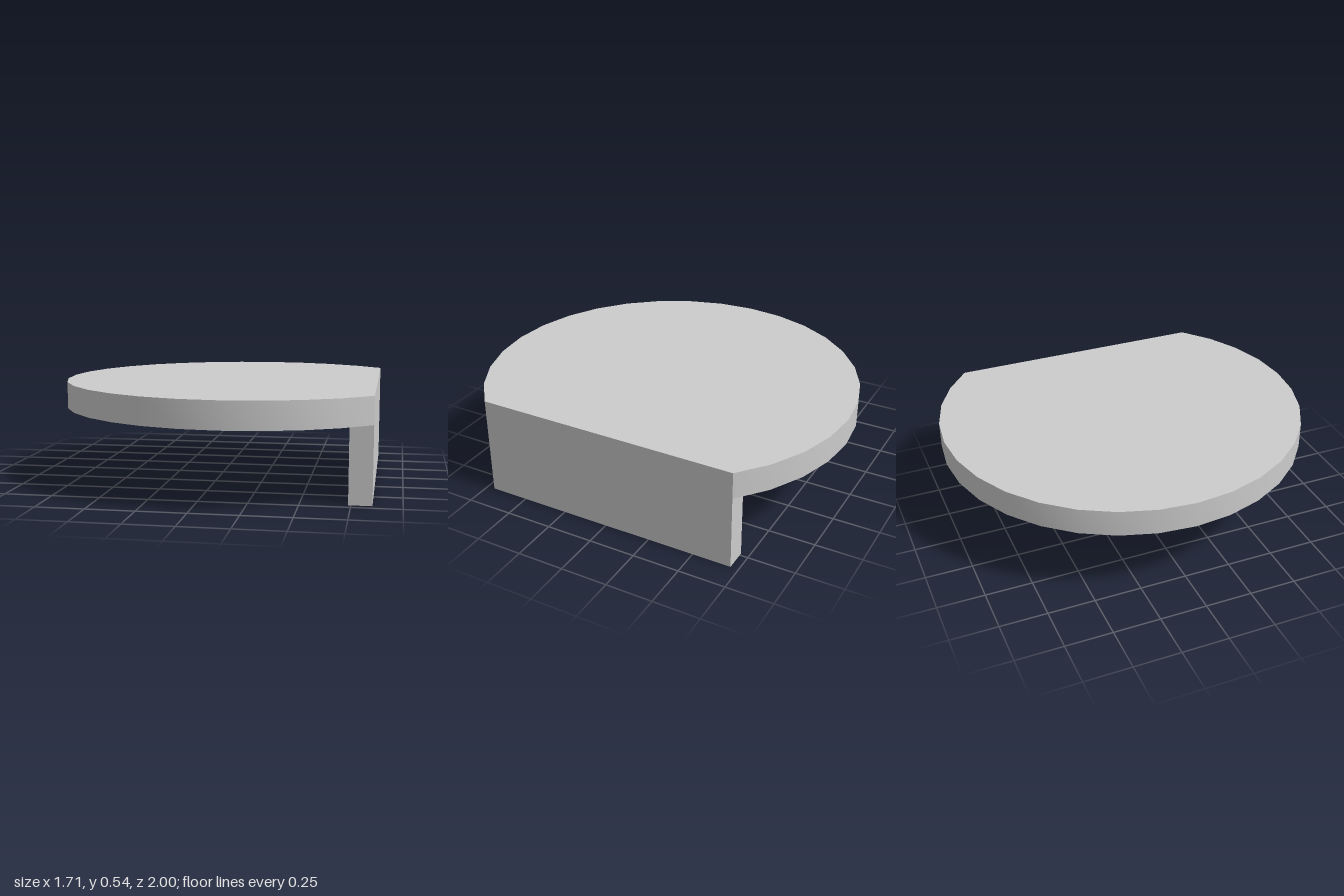
import * as THREE from 'three';
import { toCreasedNormals } from 'three/addons/utils/BufferGeometryUtils.js';

const RADIUS = 1;
const HALF_CHORD = Math.SQRT1_2;            // the disc is cut at 45 degrees either side
const CUT_X = (RADIUS + HALF_CHORD) / 2;    // flat edge, with the whole centred on x = 0
const CENTRE_X = CUT_X - HALF_CHORD;
const UNDERSIDE = 0.396, TOP = 0.537, PANEL = 0.117;

export function createModel() {
  const model = new THREE.Group();
  const material = new THREE.MeshStandardMaterial({ color: 0xcccccc });

  // Round top with one straight edge
  const outline = [];
  const segments = 24;
  for (let i = 0; i <= segments; i++) {
    const a = Math.PI / 4 + (i / segments) * Math.PI * 1.5;
    outline.push(new THREE.Vector2(CENTRE_X + RADIUS * Math.cos(a), RADIUS * Math.sin(a)));
  }
  const slab = new THREE.ExtrudeGeometry(new THREE.Shape(outline), {
    depth: TOP - UNDERSIDE, bevelEnabled: false,
  });
  slab.rotateX(-Math.PI / 2);
  slab.translate(0, UNDERSIDE, 0);
  const top = new THREE.Mesh(toCreasedNormals(slab, 0.4), material);
  top.name = 'roundTop';
  model.add(top);

  // Upright panel flush with the straight edge
  const panel = new THREE.Mesh(new THREE.BoxGeometry(PANEL, UNDERSIDE, HALF_CHORD * 2), material);
  panel.name = 'supportPanel';
  panel.position.set(CUT_X - PANEL / 2, UNDERSIDE / 2, 0);
  model.add(panel);

  return model;
}
